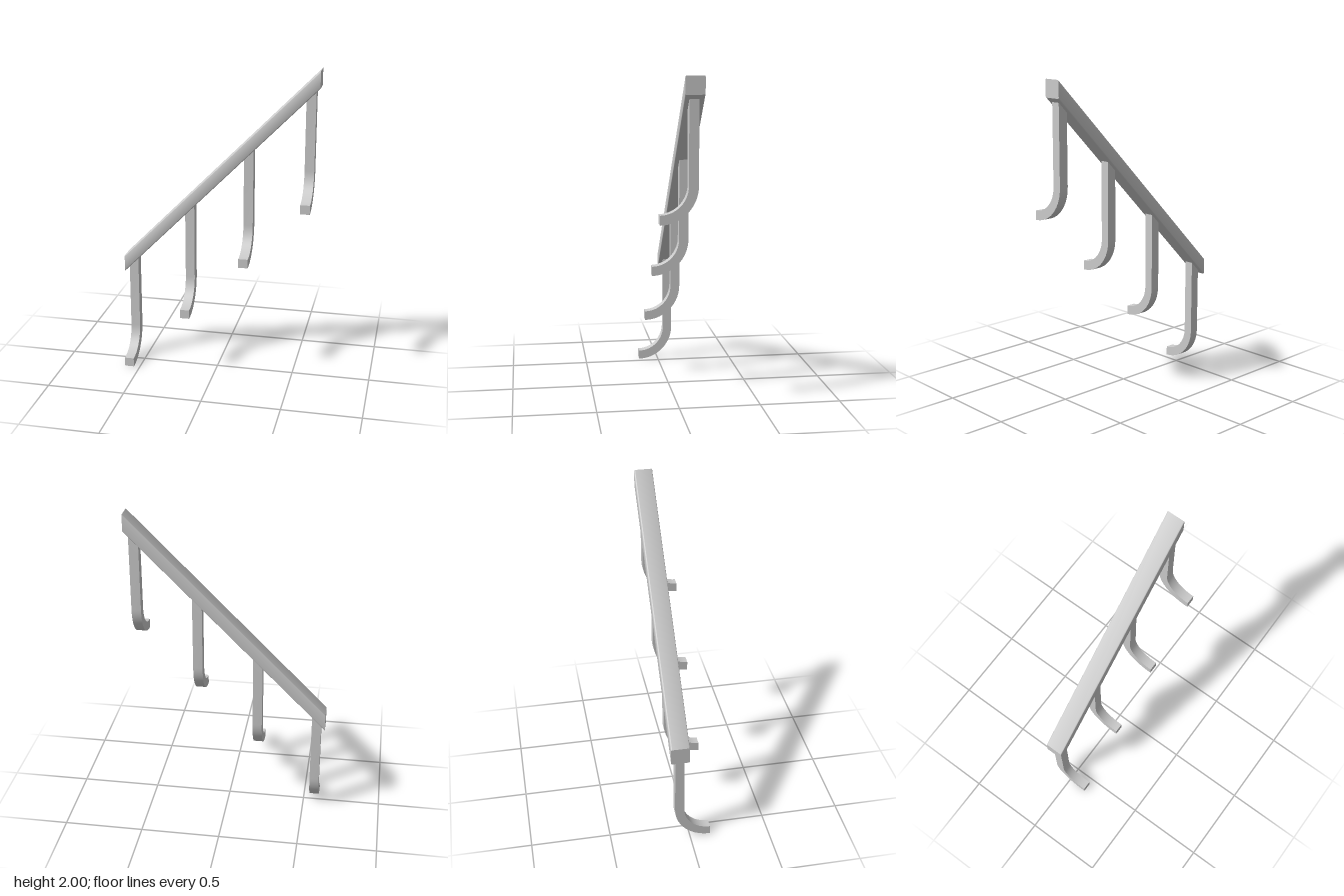
import * as THREE from 'three';
import { toCreasedNormals } from 'three/addons/utils/BufferGeometryUtils.js';

const SLOPE = 1.016;
const railBottom = (x) => 1.255 + SLOPE * x;

// Extrudes a (z, y) profile along x, centred on x = 0
function extrudeAlongX(shape, width, curveSegments) {
  const geometry = new THREE.ExtrudeGeometry(shape, { depth: width, bevelEnabled: false, curveSegments });
  return geometry.translate(0, 0, -width / 2).rotateY(-Math.PI / 2);
}

// Sloping rail: rounded section sheared upward along x, leaving upright ends
function railGeometry() {
  const z0 = -0.127, z1 = -0.011, h = 0.108, r = 0.008;
  const s = new THREE.Shape();
  s.absarc(z1 - r, r, r, -Math.PI / 2, 0);
  s.absarc(z1 - r, h - r, r, 0, Math.PI / 2);
  s.absarc(z0 + r, h - r, r, Math.PI / 2, Math.PI);
  s.absarc(z0 + r, r, r, Math.PI, Math.PI * 1.5);
  s.closePath();
  const geometry = extrudeAlongX(s, 1.25, 4);
  const p = geometry.attributes.position;
  for (let i = 0; i < p.count; i++) p.setY(i, p.getY(i) + railBottom(p.getX(i)));
  return toCreasedNormals(geometry, 0.6);
}

// Hooked post: upright bar curving forward at the foot, top cut to the rail slope
function postGeometry(x, foot) {
  const cz = 0.13, outer = 0.226, inner = 0.168, cy = foot + outer;
  const top = railBottom(x);
  const s = new THREE.Shape();
  s.moveTo(cz - inner, top);
  s.lineTo(cz - outer, top);
  s.absarc(cz, cy, outer, Math.PI, Math.PI * 1.5, false);
  s.absarc(cz, cy, inner, Math.PI * 1.5, Math.PI, true);
  s.closePath();
  const geometry = extrudeAlongX(s, 0.06, 7);
  const p = geometry.attributes.position;
  for (let i = 0; i < p.count; i++) {
    if (p.getY(i) > top - 0.01) p.setY(i, railBottom(x + p.getX(i)) + 0.003);
  }
  return toCreasedNormals(geometry, 0.6);
}

export function createModel() {
  const group = new THREE.Group();
  group.name = 'handrail';
  const material = new THREE.MeshStandardMaterial({ color: 0xcccccc });

  const add = (name, geometry, x = 0) => {
    const mesh = new THREE.Mesh(geometry, material);
    mesh.name = name;
    mesh.position.x = x;
    group.add(mesh);
  };

  add('rail', railGeometry());
  for (let i = 0; i < 4; i++) {
    const x = -0.57 + i * 0.38;
    add(`post${i + 1}`, postGeometry(x, i * 0.381), x);
  }
  return group;
}
